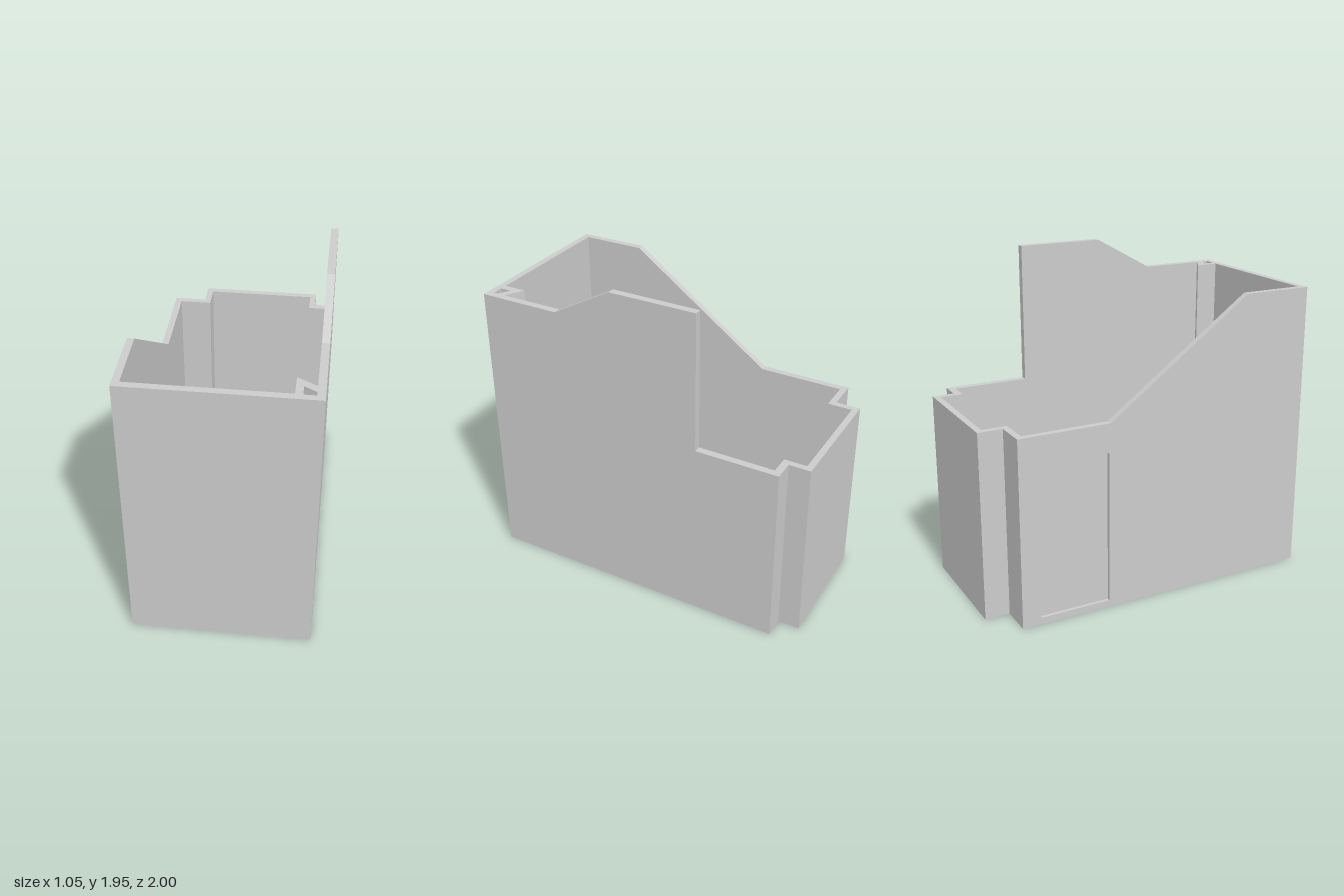
import * as THREE from 'three';

const grey = new THREE.MeshStandardMaterial({ color: 0xcccccc, flatShading: true });
const tan = new THREE.MeshStandardMaterial({ color: 0xa8a491, flatShading: true });

const points = (list) => list.map(([a, b]) => new THREE.Vector2(a, b));

// Extrude an [x, z] plan upwards from y0 to y1
function plan(name, outline, holes, y0, y1) {
  const flip = (list) => points(list.map(([x, z]) => [x, -z]));
  const shape = new THREE.Shape(flip(outline));
  shape.holes = holes.map((h) => new THREE.Path(flip(h)));
  const geo = new THREE.ExtrudeGeometry(shape, { depth: y1 - y0, bevelEnabled: false });
  geo.rotateX(-Math.PI / 2).translate(0, y0, 0);
  const mesh = new THREE.Mesh(geo, grey);
  mesh.name = name;
  return mesh;
}

// Extrude a [z, y] side profile between x0 and x1
function sideWall(name, profile, x0, x1) {
  const geo = new THREE.ExtrudeGeometry(new THREE.Shape(points(profile)), { depth: x1 - x0, bevelEnabled: false });
  geo.rotateY(-Math.PI / 2).translate(x1, 0, 0);
  const mesh = new THREE.Mesh(geo, grey);
  mesh.name = name;
  return mesh;
}

export function createModel() {
  const model = new THREE.Group();
  model.name = 'house';
  const L = -0.527, R = 0.525, Li = -0.487, Ri = 0.482;
  const low = 1.12, high = 1.75, peak = 1.95, floorTop = 0.02;

  // Wall footprint: stepped back bay, and a corner duct at the front left
  const outer = [[L, 1], [R, 1], [R, -0.87], [0.4, -0.87], [0.4, -1], [-0.333, -1], [-0.333, -0.853], [L, -0.853]];
  const doorNotch = [[L, -0.74], [L + 0.02, -0.74], [L + 0.02, -0.31], [L, -0.31]];
  const ductSide = [[0.375, 0.96], [0.375, 0.825], [Ri, 0.885]];
  const inner = [[Li, 0.96], ...ductSide, [Ri, -0.827], [0.363, -0.827], [0.363, -0.962],
    [-0.295, -0.962], [-0.295, -0.815], [Li, -0.815]];
  const duct = [[0.415, 0.895], [0.482, 0.935], [0.482, 0.962], [0.415, 0.962]];

  // Lower walls, the middle layer holding the door recess
  model.add(plan('wallBase', outer, [inner, duct], 0, 0.04));
  model.add(plan('wallWithDoorRecess', [...outer, ...doorNotch], [inner, duct], 0.04, 0.95));
  model.add(plan('wallAboveDoor', outer, [inner, duct], 0.95, low));

  // Floor inside the walls
  model.add(plan('floor', inner, [], 0, floorTop));

  // Upper front wall with the duct
  const front = [[L, 1], [R, 1], [R, 0.885], [...ductSide[2]], ductSide[1], ductSide[0], [L, 0.96]];
  model.add(plan('upperFrontWall', front, [duct], low, high));

  // Upper side walls: a sloping one on the right, a stepped one on the left
  model.add(sideWall('upperRightWall', [[0.96, low], [0.96, high], [0.58, high], [-0.3, low]], L, Li));
  model.add(sideWall('upperLeftWall',
    [[0.885, low], [0.885, high], [0.51, high], [0.15, peak], [-0.37, peak], [-0.37, low]], Ri, R));

  // Staircase rising towards the front
  const stairs = new THREE.Group();
  stairs.name = 'stairs';
  const count = 7, run = 0.127, rise = 0.09, width = 0.405;
  for (let i = 0; i < count; i++) {
    const h = rise * (i + 1);
    const step = new THREE.Mesh(new THREE.BoxGeometry(width, h, run), tan);
    step.name = 'step';
    step.position.set(Li + width / 2, floorTop + h / 2, -0.2 + run * (i + 0.5));
    stairs.add(step);
  }
  model.add(stairs);
  return model;
}
